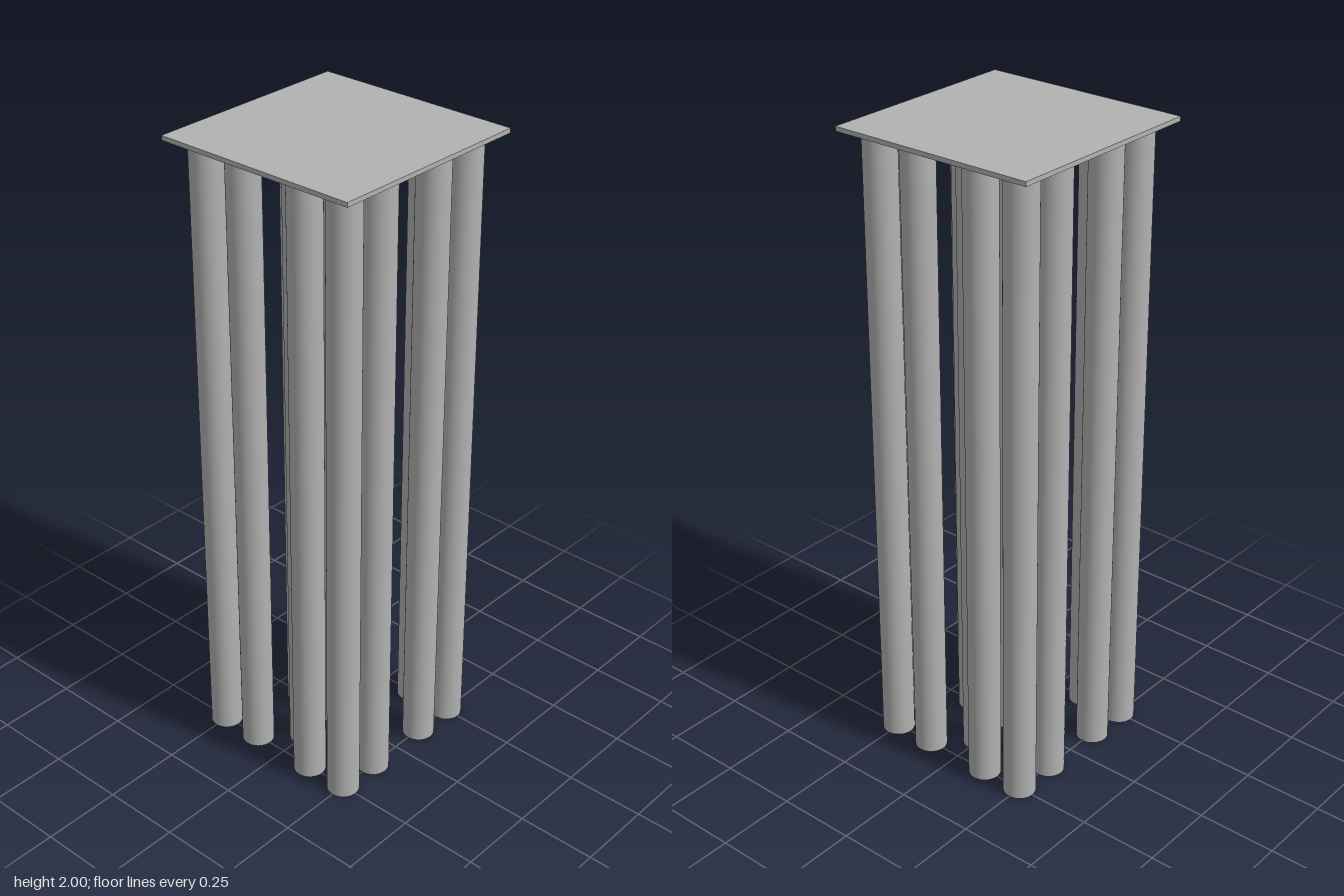
import * as THREE from 'three';

const HEIGHT = 2, PLATE = 0.667, PLATE_THICK = 0.014, RADIUS = 0.05;

export function createModel() {
  const model = new THREE.Group();
  model.name = 'columnCluster';

  const concrete = new THREE.MeshStandardMaterial({ color: 0xb2b2b2 });
  concrete.name = 'concrete grey';

  // Thin square slab across the top
  const slab = new THREE.Mesh(new THREE.BoxGeometry(PLATE, PLATE_THICK, PLATE), concrete);
  slab.name = 'topSlab';
  slab.position.y = HEIGHT - PLATE_THICK / 2;
  model.add(slab);

  // Round columns, ending just inside the slab
  const length = HEIGHT - PLATE_THICK / 2;
  const shaft = new THREE.CylinderGeometry(RADIUS, RADIUS, length, 48);
  const addColumn = (name, x, z) => {
    const column = new THREE.Mesh(shaft, concrete);
    column.name = name;
    column.position.set(x, length / 2, z);
    model.add(column);
  };

  addColumn('centreColumn', 0, 0);

  // Each quarter turn: one corner, two along the side, one inner column
  const edge = 0.25, side = 0.111, inner = 0.148;
  for (let i = 0; i < 4; i++) {
    const c = Math.round(Math.cos(i * Math.PI / 2));
    const s = Math.round(Math.sin(i * Math.PI / 2));
    const place = (name, x, z) => addColumn(name + (i + 1), c * x + s * z, c * z - s * x);
    place('cornerColumn', edge, edge);
    place('sideColumnA', side, edge);
    place('sideColumnB', -side, edge);
    place('innerColumn', 0, inner);
  }

  return model;
}
